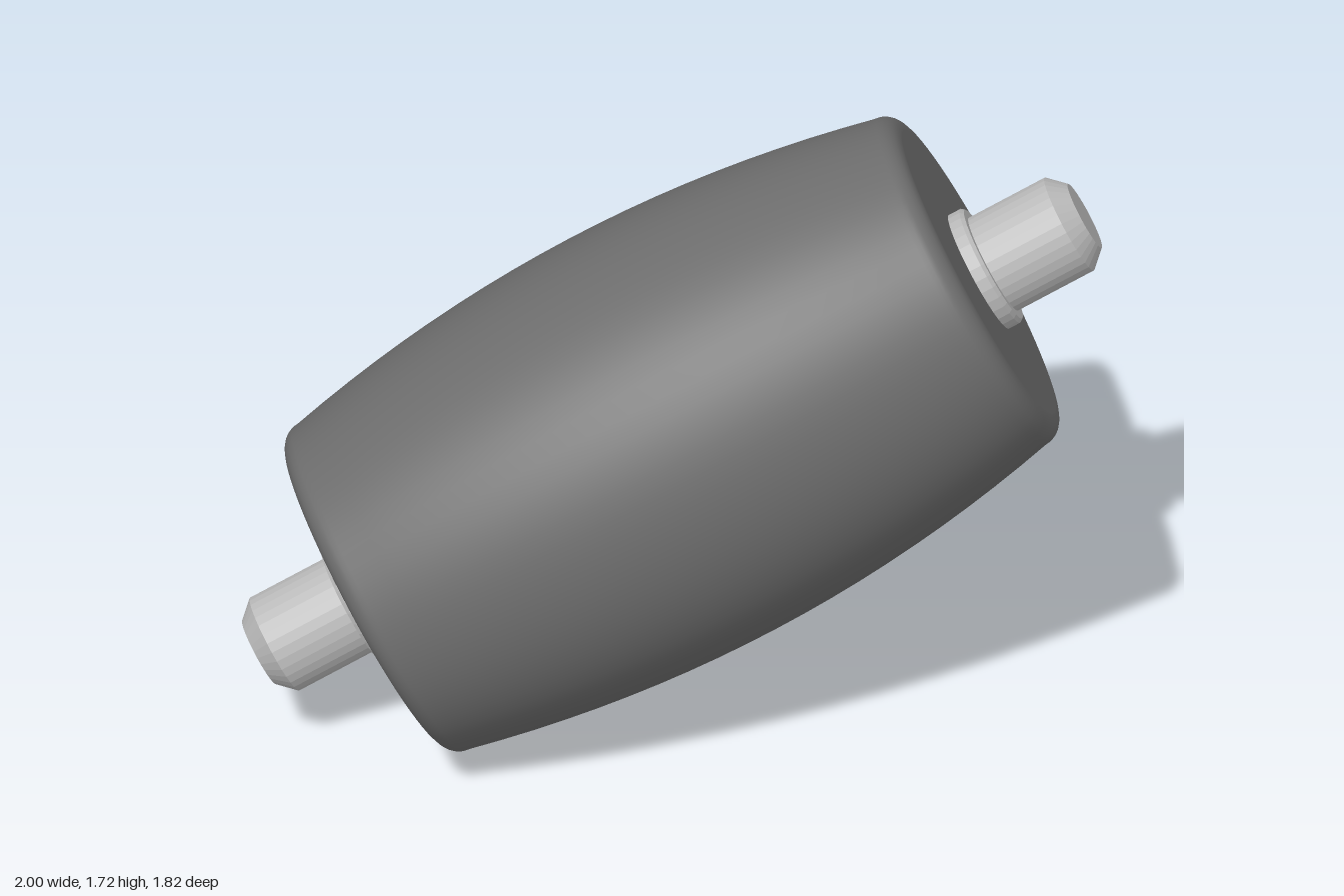
import * as THREE from 'three';

const rubber = new THREE.MeshStandardMaterial({ color: 0x6c6c6c });
rubber.name = 'dark grey';
const steel = new THREE.MeshStandardMaterial({ color: 0xbababa });
steel.name = 'light grey';
const flatSteel = steel;
flatSteel.flatShading = true;

// Solid of revolution about y from [radius, height] pairs, bottom to top
function lathe(name, points, sides, material) {
  const geometry = new THREE.LatheGeometry(points.map(([r, y]) => new THREE.Vector2(r, y)), sides);
  const mesh = new THREE.Mesh(geometry, material);
  mesh.name = name;
  return mesh;
}

export function createModel() {
  const model = new THREE.Group();
  model.name = 'roller';

  const half = 0.95, endRadius = 0.5, midRadius = 0.6, fillet = 0.06;

  // Upper half of the barrel profile: bulging side, rounded rim, flat end
  const upper = [];
  const sideTop = half - fillet;
  for (let i = 0; i <= 10; i++) {
    const t = i / 10;
    upper.push([midRadius - (midRadius - endRadius) * t * t, sideTop * t]);
  }
  for (let i = 1; i <= 6; i++) {
    const a = (i / 6) * Math.PI / 2;
    upper.push([endRadius - fillet + fillet * Math.cos(a), sideTop + fillet * Math.sin(a)]);
  }
  upper.push([endRadius - fillet - 0.006, half], [0, half]);
  const lower = upper.slice(1).reverse().map(([r, y]) => [r, -y]);
  model.add(lathe('barrel', [...lower, ...upper], 64, rubber));

  // Stub axle with collar and chamfered tip at each end
  for (const end of [1, -1]) {
    const axle = new THREE.Group();
    axle.name = end > 0 ? 'upperAxle' : 'lowerAxle';
    axle.add(lathe('collar', [[0.175, half - 0.02], [0.175, half + 0.035], [0.167, half + 0.045], [0.14, half + 0.045]], 32, flatSteel));
    axle.add(lathe('shaft', [[0.143, half - 0.02], [0.143, 1.23], [0.098, 1.278], [0, 1.278]], 32, flatSteel));
    if (end < 0) axle.rotation.x = Math.PI;
    model.add(axle);
  }

  // Tilt the roller along its diagonal axis
  const axis = new THREE.Vector3(0.705, 0.458, -0.541).normalize();
  model.quaternion.setFromUnitVectors(new THREE.Vector3(0, 1, 0), axis);
  model.position.y = 0.86;

  const root = new THREE.Group();
  root.name = 'barrelRoller';
  root.add(model);
  return root;
}
